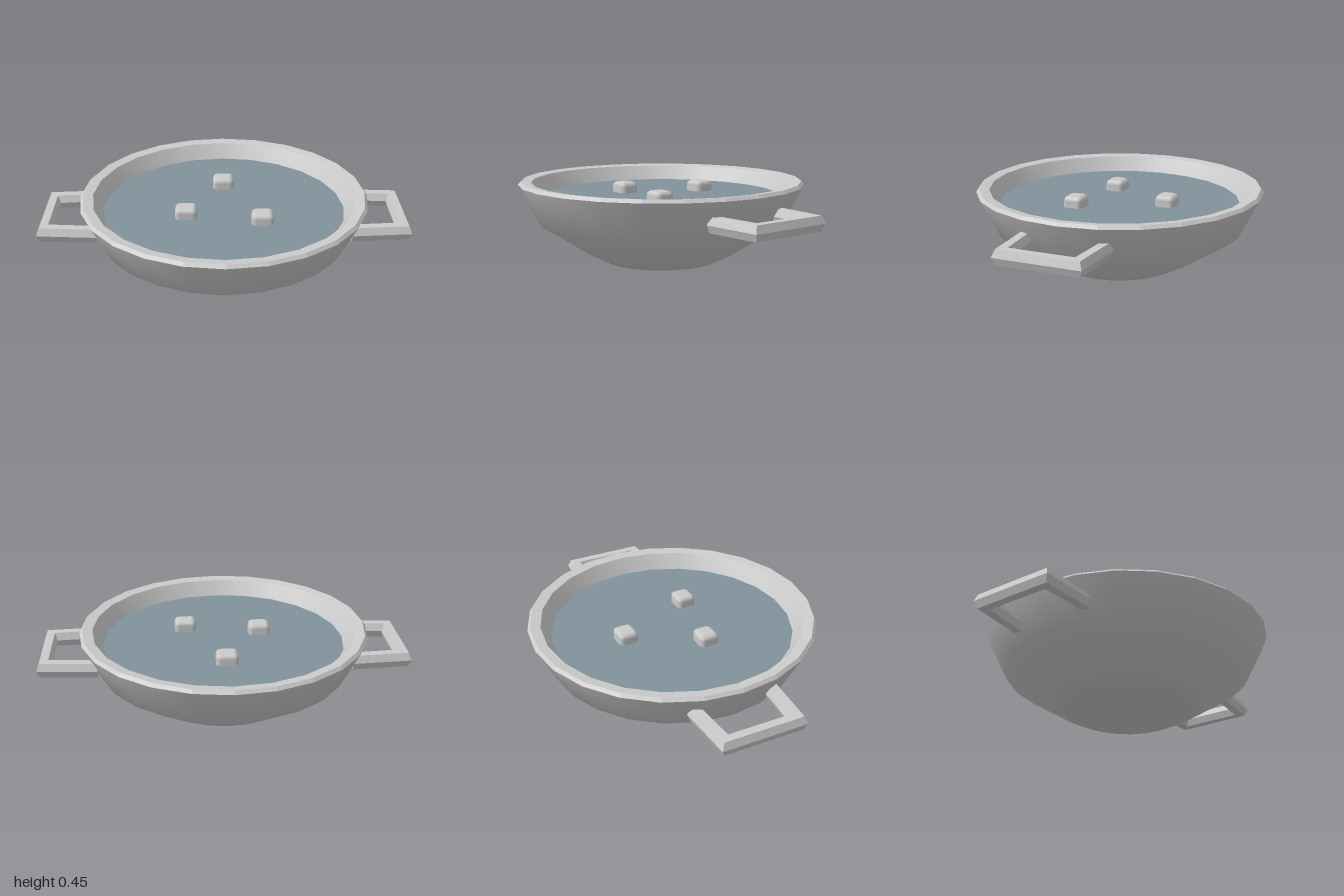
import * as THREE from 'three';
import { RoundedBoxGeometry } from 'three/addons/geometries/RoundedBoxGeometry.js';

const SIDES = 24;

function part(name, geometry, options = {}) {
  const material = new THREE.MeshStandardMaterial({ color: 0xcccccc, ...options });
  const mesh = new THREE.Mesh(geometry, material);
  mesh.name = name;
  return mesh;
}

function lathe(profile) {
  return new THREE.LatheGeometry(profile.map(([r, y]) => new THREE.Vector2(r, y)), SIDES);
}

// Flattened hexagonal bar swept along a path with mitred corners
function handleGeometry() {
  const stations = [ // x, z, outward x, outward z
    [0.68, 0.217, 0, 1],
    [0.963, 0.197, 1, 1],
    [0.963, -0.197, 1, -1],
    [0.68, -0.217, 0, -1],
  ];
  const section = [ // outward offset, height
    [0.037, 0], [0.022, 0.04], [-0.022, 0.04],
    [-0.037, 0], [-0.022, -0.04], [0.022, -0.04],
  ];
  const n = section.length;
  const positions = [];
  for (const [x, z, ox, oz] of stations) {
    for (const [d, h] of section) positions.push(x + ox * d, 0.31 + h, z + oz * d);
  }
  const index = [];
  for (let i = 0; i < stations.length - 1; i++) {
    for (let j = 0; j < n; j++) {
      const a = i * n + j, b = i * n + (j + 1) % n;
      index.push(a, a + n, b, b, a + n, b + n);
    }
  }
  // End caps
  const last = (stations.length - 1) * n;
  for (let j = 1; j < n - 1; j++) {
    index.push(0, j, j + 1, last, last + j + 1, last + j);
  }
  const geometry = new THREE.BufferGeometry();
  geometry.setAttribute('position', new THREE.Float32BufferAttribute(positions, 3));
  geometry.setIndex(index);
  geometry.computeVertexNormals();
  return geometry;
}

export function createModel() {
  const model = new THREE.Group();
  model.name = 'pot';

  // Bowl: smooth outside and inside, faceted rim
  const bowl = new THREE.Group();
  bowl.name = 'bowl';
  bowl.add(
    part('bowlOutside', lathe([[0, 0], [0.32, 0], [0.41, 0.045], [0.68, 0.22], [0.785, 0.43]])),
    part('rim', lathe([[0.785, 0.43], [0.77, 0.447], [0.715, 0.44]]), { flatShading: true }),
    part('bowlInside', lathe([[0.715, 0.44], [0.66, 0.345], [0.61, 0.24], [0.38, 0.08], [0, 0.05]])),
  );
  model.add(bowl);

  // Liquid surface
  const liquid = part('liquid', new THREE.CircleGeometry(0.66, SIDES).rotateX(-Math.PI / 2), { color: 0x80929c });
  liquid.position.y = 0.36;
  model.add(liquid);

  // Floating chunks
  for (const [x, z] of [[0, -0.278], [-0.205, 0.1], [0.205, 0.17]]) {
    const chunk = part('chunk', new RoundedBoxGeometry(0.12, 0.12, 0.11, 1, 0.026));
    chunk.position.set(x, 0.36, z);
    model.add(chunk);
  }

  // Side handles
  const geometry = handleGeometry();
  for (const [name, turn] of [['leftHandle', 0], ['rightHandle', Math.PI]]) {
    const handle = part(name, geometry, { flatShading: true });
    handle.rotation.y = turn;
    model.add(handle);
  }
  return model;
}
